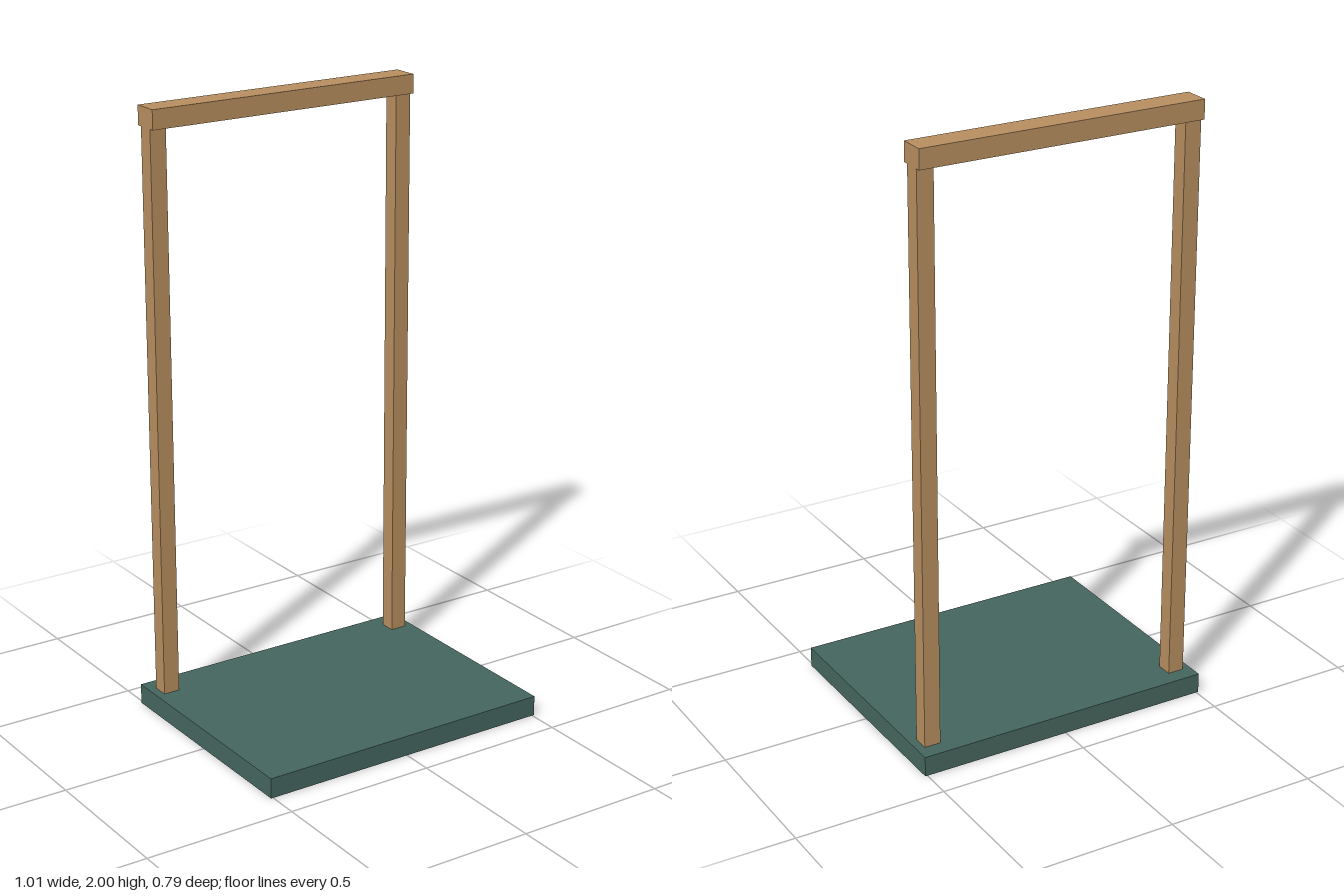
import * as THREE from 'three';

export function createModel() {
  const model = new THREE.Group();
  model.name = 'frameStand';

  const wood = new THREE.MeshStandardMaterial({ color: 0xb88f60 });
  wood.name = 'wood';
  const green = new THREE.MeshStandardMaterial({ color: 0x46665f });
  green.name = 'darkGreen';

  const addBox = (name, material, [w, h, d], [x, y, z]) => {
    const mesh = new THREE.Mesh(new THREE.BoxGeometry(w, h, d), material);
    mesh.name = name;
    mesh.position.set(x, y + h / 2, z); // y is the underside
    model.add(mesh);
  };

  const baseHeight = 0.067;
  const beamBottom = 1.937;
  const frameZ = -0.317;

  // Flat base slab
  addBox('base', green, [1.015, baseHeight, 0.793], [0, 0, 0]);

  // Two uprights near the back edge
  for (const [name, side] of [['leftPost', 1], ['rightPost', -1]]) {
    addBox(name, wood, [0.055, beamBottom - baseHeight, 0.054], [side * 0.4525, baseHeight, frameZ]);
  }

  // Wider beam across the top, flush with the posts' outer faces
  addBox('topBeam', wood, [0.96, 2 - beamBottom, 0.088], [0, beamBottom, frameZ]);

  return model;
}
